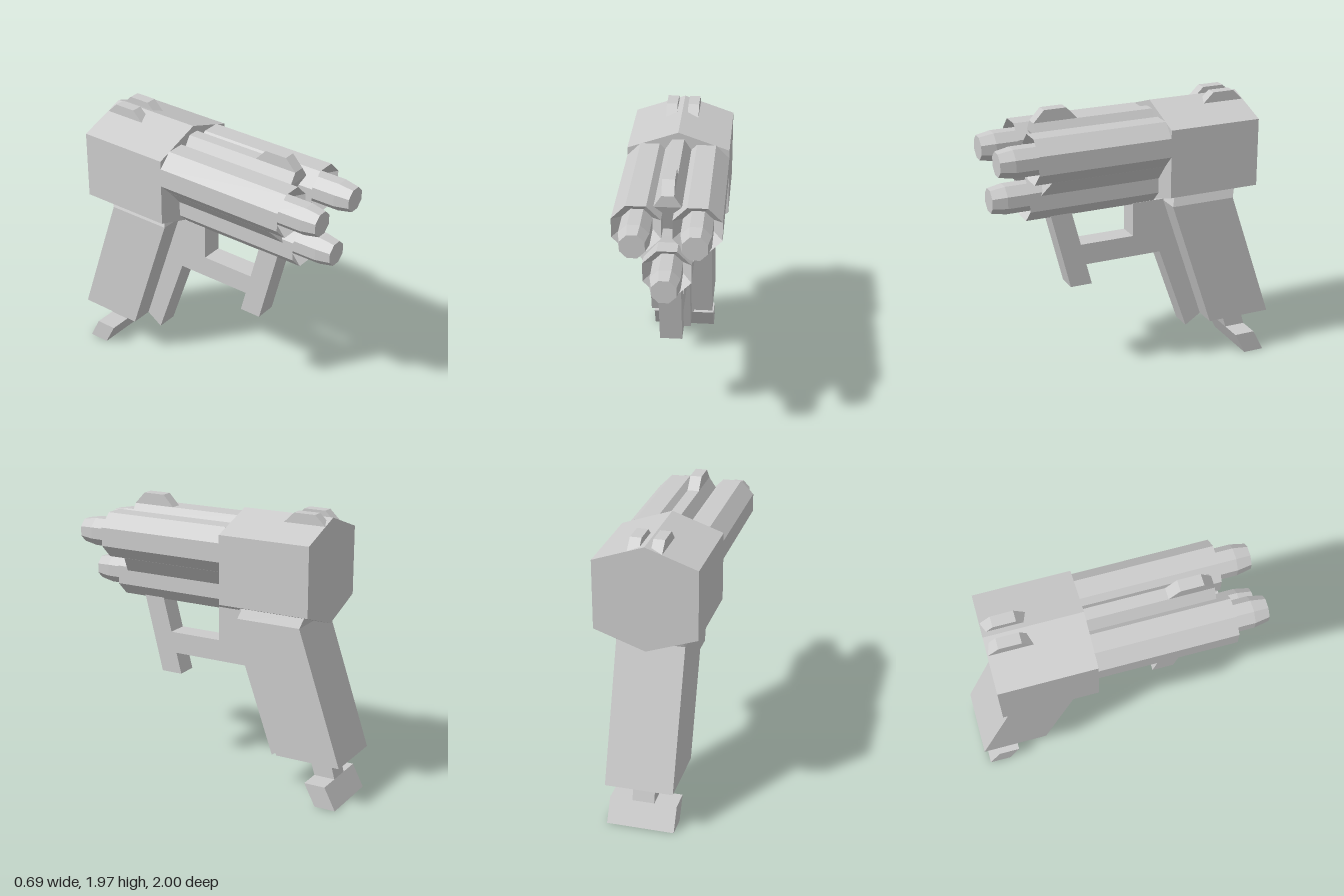
import * as THREE from 'three';

const material = new THREE.MeshStandardMaterial({ color: 0xcccccc, flatShading: true });

export function createModel() {
  const model = new THREE.Group();

  function add(name, geometry, x = 0, y = 0) {
    const mesh = new THREE.Mesh(geometry, material);
    mesh.name = name;
    mesh.position.set(x, y, 0);
    model.add(mesh);
    return mesh;
  }

  const toShape = (points) => new THREE.Shape(points.map(([a, b]) => new THREE.Vector2(a, b)));

  // Side profile given as [z, y], extruded to a width centred on x = 0
  function plate(points, width) {
    const g = new THREE.ExtrudeGeometry(toShape(points), { depth: width, bevelEnabled: false });
    return g.translate(0, 0, -width / 2).rotateY(-Math.PI / 2);
  }

  // Rectangular sections [y, halfWidth, zFront, zBack] stacked from the bottom up
  function loft(sections) {
    const positions = [];
    const index = [];
    for (const [y, w, f, b] of sections) positions.push(w, y, f, w, y, b, -w, y, b, -w, y, f);
    const last = (sections.length - 1) * 4;
    for (let s = 0; s < last; s += 4) {
      for (let i = 0; i < 4; i++) {
        const j = (i + 1) % 4;
        index.push(s + i, s + j, s + 4 + j, s + i, s + 4 + j, s + 4 + i);
      }
    }
    index.push(0, 2, 1, 0, 3, 2, last, last + 1, last + 2, last, last + 2, last + 3);
    const g = new THREE.BufferGeometry();
    g.setAttribute('position', new THREE.Float32BufferAttribute(positions, 3));
    g.setIndex(index);
    const flat = g.toNonIndexed();
    flat.computeVertexNormals();
    return flat;
  }

  // Six-sided rear housing
  const housing = toShape([
    [0, 1.225], [0.345, 1.345], [0.345, 1.815], [0, 1.935], [-0.345, 1.815], [-0.345, 1.345],
  ]);
  add('housing', new THREE.ExtrudeGeometry(housing, { depth: 0.65, bevelEnabled: false })
    .translate(0, 0, -0.805));

  // Three octagonal barrels with recessed fronts and tapered muzzles: [apothem, z]
  const profile = [
    [0, -0.155], [0.155, -0.155], [0.155, 0.77], [0.096, 0.69], [0.096, 0.9], [0.078, 1], [0, 1],
  ].map(([r, z]) => new THREE.Vector2(r / Math.cos(Math.PI / 8), z));
  const barrel = new THREE.LatheGeometry(profile, 8, Math.PI / 8).rotateX(Math.PI / 2);
  add('leftBarrel', barrel, 0.19, 1.695);
  add('rightBarrel', barrel, -0.19, 1.695);
  add('lowerBarrel', barrel, 0, 1.386);

  // Core joining the barrels, rising into the top rib
  add('barrelCore', loft([
    [1.42, 0.15, 0.695, -0.155],
    [1.54, 0.255, 0.65, -0.155],
    [1.62, 0.3, 0.615, -0.155],
    [1.81, 0.09, 0.69, -0.155],
    [1.885, 0.04, 0.69, -0.155],
  ]));

  // Sights
  add('frontSight', plate([[0.69, 1.87], [0.69, 1.885], [0.615, 1.965], [0.46, 1.965],
    [0.385, 1.885], [0.385, 1.87]], 0.08));
  for (const side of [1, -1]) {
    add(side > 0 ? 'leftRearSight' : 'rightRearSight', plate([
      [-0.505, 1.893], [-0.58, 1.965], [-0.73, 1.965], [-0.805, 1.893],
    ], 0.075), side * 0.075);
  }

  // Slanted grip, its head tucked under the housing
  add('grip', loft([
    [0.31, 0.23, -0.535, -1],
    [1.23, 0.23, -0.23, -0.69],
    [1.305, 0.2, -0.255, -0.715],
  ]));

  // Narrow frame: block under the barrels, crossbar and strip down the grip
  add('gripFrame', plate([
    [0, 1.24], [0, 1], [0.39, 1], [0.35, 0.85], [-0.205, 0.85], [-0.42, 0.235],
    [-0.535, 0.31], [-0.535, 0.4], [-0.26, 1.24],
  ], 0.15));
  add('frontStrut', plate([[0.6, 1.245], [0.465, 0.7], [0.31, 0.7], [0.45, 1.245]], 0.15));

  // Foot below the grip
  add('footNeck', plate([[-0.7, 0.32], [-0.75, 0.155], [-0.9, 0.155], [-0.855, 0.32]], 0.15));
  add('foot', plate([[-0.75, 0.155], [-0.83, 0], [-0.98, 0], [-0.9, 0.155]], 0.46));

  return model;
}
